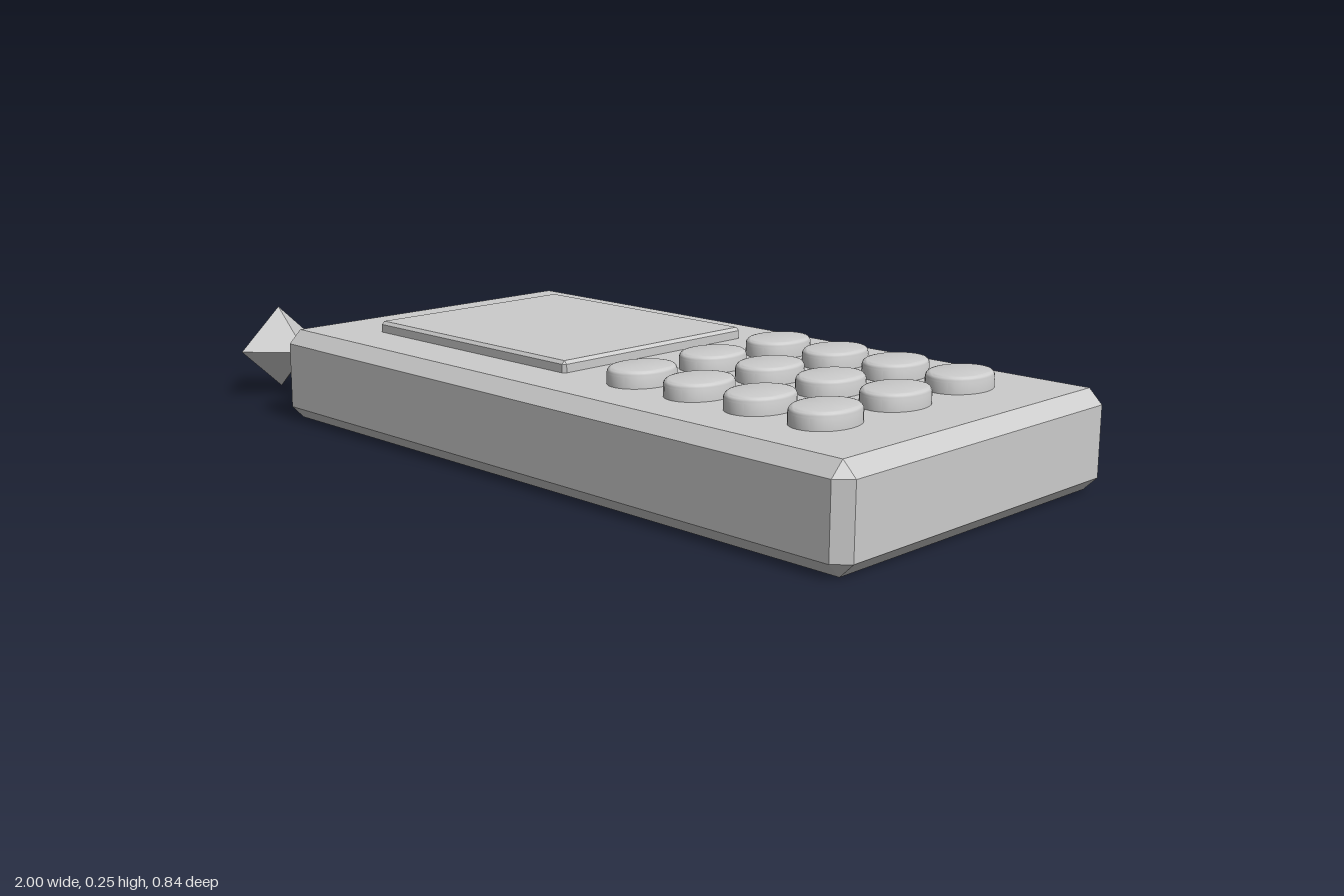
import * as THREE from 'three';
import { toCreasedNormals } from 'three/addons/utils/BufferGeometryUtils.js';
import { ConvexGeometry } from 'three/addons/geometries/ConvexGeometry.js';

// Box with every edge chamfered by c, centred on the origin
function chamferBox(w, h, d, c) {
  const points = [];
  for (const sx of [-1, 1]) for (const sy of [-1, 1]) for (const sz of [-1, 1]) {
    const x = w / 2, y = h / 2, z = d / 2;
    points.push(
      new THREE.Vector3(sx * x, sy * (y - c), sz * (z - c)),
      new THREE.Vector3(sx * (x - c), sy * y, sz * (z - c)),
      new THREE.Vector3(sx * (x - c), sy * (y - c), sz * z));
  }
  return new ConvexGeometry(points);
}

export function createModel() {
  const model = new THREE.Group();
  const smooth = new THREE.MeshStandardMaterial({ color: 0xcccccc });
  const flat = new THREE.MeshStandardMaterial({ color: 0xcccccc, flatShading: true });

  function add(name, geometry, material, x, y, z, parent = model) {
    const mesh = new THREE.Mesh(geometry, material);
    mesh.name = name;
    mesh.position.set(x, y, z);
    parent.add(mesh);
    return mesh;
  }

  // Case and raised screen
  add('body', chamferBox(1.665, 0.21, 0.84, 0.03), flat, 0.1675, 0.105, 0);
  add('screen', chamferBox(0.63, 0.05, 0.544, 0.007), flat, -0.168, 0.21, 0);

  // Oval buttons with rounded rims, four columns by three rows
  const r = 0.08, top = 0.045, rim = 0.012;
  const profile = [new THREE.Vector2(r, 0)];
  for (let i = 0; i <= 4; i++) {
    const a = (i / 4) * Math.PI / 2;
    profile.push(new THREE.Vector2(r - rim + rim * Math.cos(a), top - rim + rim * Math.sin(a)));
  }
  profile.push(new THREE.Vector2(0, top));
  const buttonGeometry = toCreasedNormals(
    new THREE.LatheGeometry(profile, 32).scale(0.78, 1, 1), 0.6);
  const keypad = new THREE.Group();
  keypad.name = 'keypad';
  model.add(keypad);
  for (let row = 0; row < 3; row++) {
    for (let col = 0; col < 4; col++) {
      add('button', buttonGeometry, smooth, 0.312 + col * 0.158, 0.2, (row - 1) * 0.21, keypad);
    }
  }

  // Antenna: thin rod ending in a faceted knob
  const antenna = new THREE.Group();
  antenna.name = 'antenna';
  antenna.position.set(0, 0.118, 0.281);
  model.add(antenna);
  const rod = new THREE.CylinderGeometry(0.023, 0.023, 0.26, 16).rotateZ(Math.PI / 2);
  add('antennaRod', rod, smooth, -0.73, 0, 0, antenna);
  const knob = new THREE.OctahedronGeometry(1).scale(0.11, 0.1, 0.11);
  add('antennaKnob', knob, flat, -0.89, 0, 0, antenna);

  return model;
}
